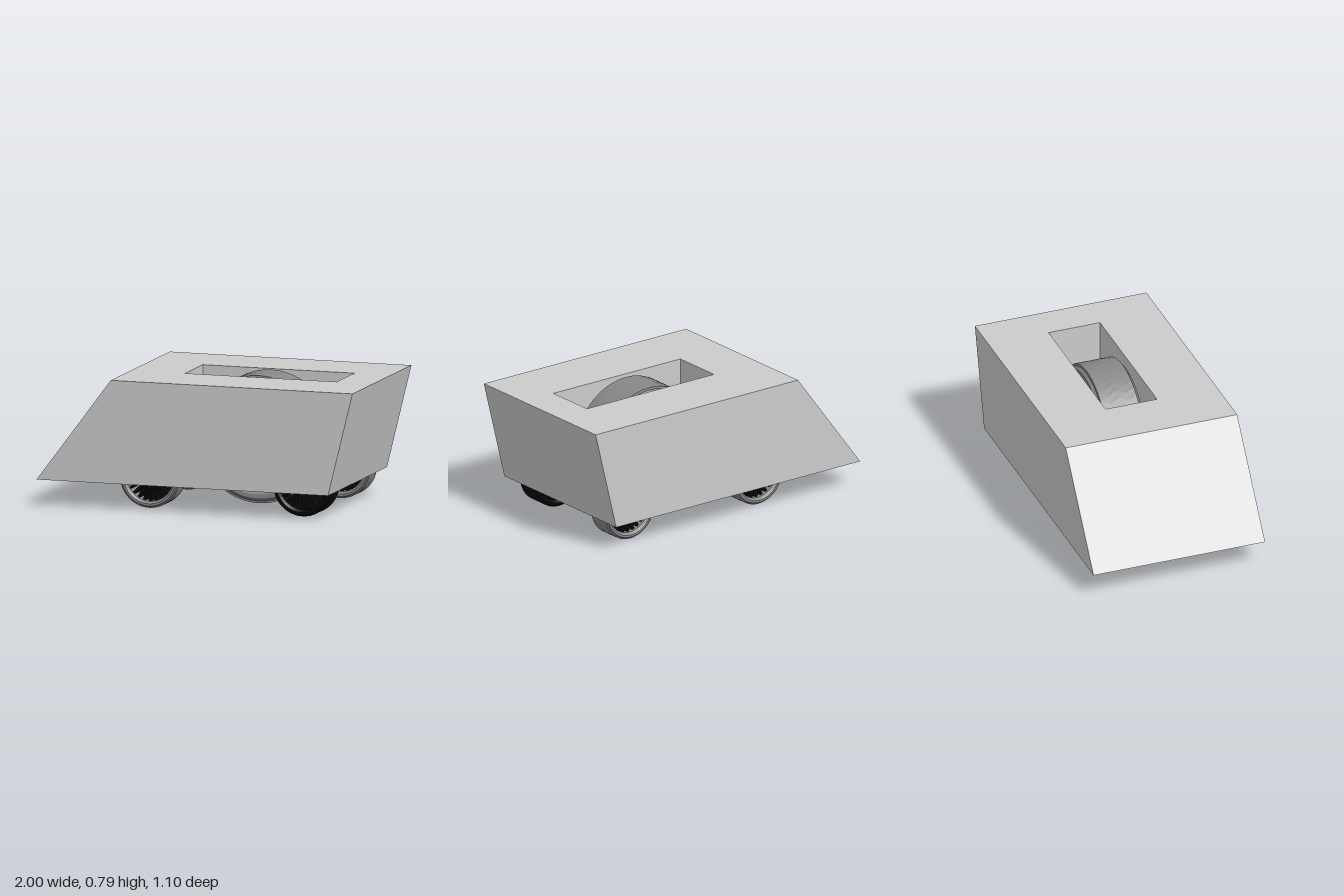
import * as THREE from 'three';

const BOTTOM = 0.157, TOP = 0.785, HALF = 0.55;
const SLOT = [-0.19, 0.77, -0.165, 0.165];
const WHEEL_X = [-0.33, 0.64], WHEEL_Z = 0.35;

const material = (color, flatShading = false) => new THREE.MeshStandardMaterial({ color, flatShading });

function addMesh(parent, name, geometry, mat) {
  const mesh = new THREE.Mesh(geometry, mat);
  mesh.name = name;
  parent.add(mesh);
  return mesh;
}

// Horizontal rectangle as a loop of corners
const loop = (x0, x1, z0, z1, y) => [[x0, y, z1], [x1, y, z1], [x1, y, z0], [x0, y, z0]];

// Four walls between two loops; inward turns them to face the middle
function walls(low, high, inward = false) {
  const pos = [];
  for (let i = 0; i < 4; i++) {
    const j = (i + 1) % 4;
    const [a, b, c, d] = inward
      ? [low[j], low[i], high[i], high[j]]
      : [low[i], low[j], high[j], high[i]];
    pos.push(...a, ...b, ...c, ...a, ...c, ...d);
  }
  const g = new THREE.BufferGeometry();
  g.setAttribute('position', new THREE.Float32BufferAttribute(pos, 3));
  g.computeVertexNormals();
  return g;
}

// Flat plate with rectangular openings
function plate(x0, x1, y, holes, up) {
  const corners = (a, b, c, d) => loop(a, b, c, d, 0).map(p => new THREE.Vector2(p[0], p[2]));
  const shape = new THREE.Shape(corners(x0, x1, -HALF, HALF));
  shape.holes = holes.map(h => new THREE.Path(corners(...h)));
  return new THREE.ShapeGeometry(shape).rotateX(up ? -Math.PI / 2 : Math.PI / 2).translate(0, y, 0);
}

function makeBody() {
  const body = new THREE.Group();
  body.name = 'body';
  const grey = material(0xcccccc);
  const pockets = [];
  for (const [x0, x1] of [[-0.53, -0.12], [0.44, 0.84]]) {
    pockets.push([x0, x1, 0.245, 0.46], [x0, x1, -0.46, -0.245]);
  }
  addMesh(body, 'outerWalls',
    walls(loop(-1, 0.845, -HALF, HALF, BOTTOM), loop(-0.53, 1, -HALF, HALF, TOP)), grey);
  addMesh(body, 'roof', plate(-0.53, 1, TOP, [SLOT], true), grey);
  addMesh(body, 'underside', plate(-1, 0.845, BOTTOM, [SLOT, ...pockets], false), grey);
  addMesh(body, 'slotWalls', walls(loop(...SLOT, BOTTOM), loop(...SLOT, TOP), true), grey);
  for (const p of pockets) {
    addMesh(body, 'wheelPocket', walls(loop(...p, BOTTOM), loop(...p, TOP), true), grey);
  }
  return body;
}

// Tyre ring whose tread is bent into chevrons
function tyreGeometry(r, rim, half) {
  const tread = half * 0.85;
  const profile = [
    [rim, -half * 0.8], [r * 0.86, -half], [r * 0.93, -half], [r * 0.965, -half * 0.87],
    [r, -tread], [r, -tread / 2], [r, 0], [r, tread / 2], [r, tread],
    [r * 0.965, half * 0.87], [r * 0.93, half], [r * 0.86, half], [rim, half * 0.8], [rim, -half * 0.8],
  ];
  const g = new THREE.LatheGeometry(profile.map(p => new THREE.Vector2(...p)), 48);
  const pos = g.attributes.position;
  const v = new THREE.Vector3(), axis = new THREE.Vector3(0, 1, 0);
  for (let i = 0; i < pos.count; i++) {
    v.fromBufferAttribute(pos, i);
    if (Math.hypot(v.x, v.z) > r * 0.99 && Math.abs(v.y) > tread * 0.25 && Math.abs(v.y) < tread * 0.75) {
      v.applyAxisAngle(axis, 0.07);
      pos.setXYZ(i, v.x, v.y, v.z);
    }
  }
  return g.rotateX(Math.PI / 2);
}

function makeWheel(name, { r, rim, half, hub, spokeWidth, spokeDepth, tyre, spoke }) {
  const wheel = new THREE.Group();
  wheel.name = name;
  addMesh(wheel, 'tyre', tyreGeometry(r, rim, half), material(tyre, true));
  addMesh(wheel, 'hub',
    new THREE.CylinderGeometry(hub, hub, spokeDepth * 1.1, 24).rotateX(Math.PI / 2), material(spoke));
  const blade = new THREE.BoxGeometry(rim - hub + 0.02, spokeWidth, spokeDepth).translate((rim + hub) / 2, 0, 0);
  const bladeMaterial = material(spoke);
  for (let i = 0; i < 24; i++) {
    addMesh(wheel, 'spoke', blade, bladeMaterial).rotation.z = (i / 24) * Math.PI * 2;
  }
  return wheel;
}

function addAxle(parent, name, x, y, radius, length, color) {
  const g = new THREE.CylinderGeometry(radius, radius, length, 20).rotateX(Math.PI / 2);
  addMesh(parent, name, g, material(color)).position.set(x, y, 0);
}

export function createModel() {
  const model = new THREE.Group();
  model.name = 'vehicle';
  model.add(makeBody());

  // Large wheel in the slot
  const big = makeWheel('centreWheel', {
    r: 0.388, rim: 0.29, half: 0.135, hub: 0.07, spokeWidth: 0.032, spokeDepth: 0.15,
    tyre: 0x888888, spoke: 0xaaaaaa,
  });
  big.position.set(0.26, 0.4, 0);
  model.add(big);
  addAxle(model, 'centreAxle', 0.26, 0.4, 0.033, 0.34, 0x999999);

  // Four running wheels in their pockets
  WHEEL_X.forEach((x, i) => {
    for (const side of [1, -1]) {
      const dark = i === 1 && side === 1;
      const wheel = makeWheel(i ? 'rearWheel' : 'noseWheel', {
        r: 0.187, rim: 0.148, half: 0.081, hub: 0.028, spokeWidth: 0.016, spokeDepth: 0.1,
        tyre: dark ? 0x0a0a0a : 0x888888, spoke: 0x0a0a0a,
      });
      wheel.position.set(x, 0.187, side * WHEEL_Z);
      model.add(wheel);
    }
    addAxle(model, i ? 'rearAxle' : 'noseAxle', x, 0.187, 0.016, 2 * WHEEL_Z, 0x0a0a0a);
  });
  return model;
}
